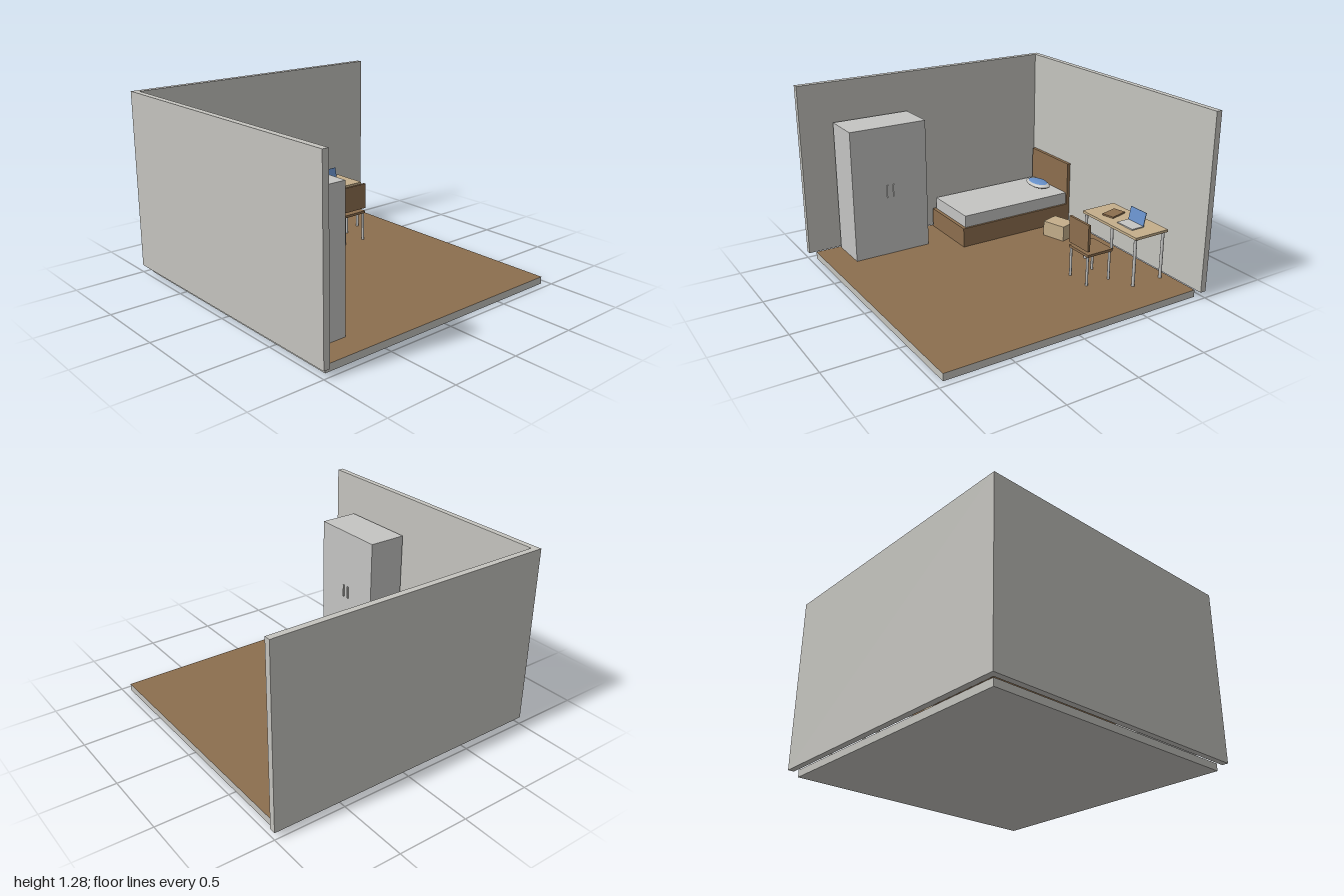
import * as THREE from 'three';

const mat = (name, color) => {
  const m = new THREE.MeshStandardMaterial({ color });
  m.name = name;
  return m;
};

export function createModel() {
  const wall = mat('wall grey', 0xc4c3be);
  const white = mat('soft grey', 0xc4c4c2);
  const wood = mat('brown wood', 0x8c6e4e);
  const tan = mat('light wood', 0xc4ae8a);
  const blue = mat('blue', 0x668fc8);

  const room = new THREE.Group();
  room.name = 'bedroom';
  const group = (name) => {
    const g = new THREE.Group();
    g.name = name;
    room.add(g);
    return g;
  };
  // box given by its min and max corners
  const box = (parent, name, material, [x0, x1], [y0, y1], [z0, z1], turn = 0) => {
    const m = new THREE.Mesh(new THREE.BoxGeometry(x1 - x0, y1 - y0, z1 - z0), material);
    m.position.set((x0 + x1) / 2, (y0 + y1) / 2, (z0 + z1) / 2);
    m.rotation.y = turn;
    m.name = name;
    parent.add(m);
    return m;
  };
  // four round legs at every pairing of xs and zs
  const legs = (parent, name, xs, zs, top, r) => {
    for (const x of xs) for (const z of zs) {
      const m = new THREE.Mesh(new THREE.CylinderGeometry(r, r, top - 0.05, 16), white);
      m.position.set(x, (top + 0.05) / 2, z);
      m.name = name;
      parent.add(m);
    }
  };

  // Floor slab with a wooden top, and two walls
  box(room, 'floor', [wall, wall, wood, wall, wall, wall], [-0.95, 0.95], [0, 0.05], [-0.95, 0.95]);
  box(room, 'backWall', wall, [-1, 1], [0.05, 1.285], [-1, -0.957]);
  box(room, 'rightWall', wall, [-1, -0.957], [0.05, 1.285], [-0.957, 1]);

  // Bed
  const bed = group('bed');
  box(bed, 'bedBase', wood, [-0.93, -0.455], [0.05, 0.195], [-0.93, 0]);
  box(bed, 'headboard', wood, [-0.93, -0.455], [0.05, 0.525], [-0.953, -0.928]);
  box(bed, 'mattress', white, [-0.915, -0.47], [0.195, 0.285], [-0.928, -0.025]);
  const pillow = new THREE.Mesh(new THREE.SphereGeometry(1, 32, 20), white);
  pillow.name = 'pillow';
  pillow.scale.set(0.127, 0.024, 0.07);
  pillow.position.set(-0.693, 0.316, -0.82);
  bed.add(pillow);
  // blue patch on top of the pillow
  const patch = new THREE.Mesh(
    new THREE.SphereGeometry(1, 32, 10, 0, Math.PI * 2, 0, 0.88), blue);
  patch.name = 'pillowPatch';
  patch.scale.set(0.127, 0.026, 0.075);
  patch.position.copy(pillow.position);
  bed.add(patch);

  // Wardrobe with two handles
  const wardrobe = group('wardrobe');
  box(wardrobe, 'wardrobeBody', white, [-0.93, -0.645], [0.05, 1.002], [0.192, 0.765]);
  for (const z of [0.455, 0.503])
    box(wardrobe, 'wardrobeHandle', white, [-0.645, -0.636], [0.482, 0.575], [z - 0.006, z + 0.006]);

  // Storage box, turned slightly
  box(room, 'storageBox', tan, [-0.355, -0.17], [0.05, 0.163], [-0.79, -0.65], 0.3);

  // Desk
  const desk = group('desk');
  box(desk, 'deskTop', tan, [0.14, 0.711], [0.392, 0.41], [-0.902, -0.626]);
  legs(desk, 'deskLeg', [0.166, 0.688], [-0.88, -0.642], 0.392, 0.011);

  // Book and laptop on the desk
  box(desk, 'book', wood, [0.261, 0.354], [0.41, 0.421], [-0.834, -0.698], 0.25);
  const laptop = group('laptop');
  box(laptop, 'laptopBase', white, [0.443, 0.598], [0.41, 0.418], [-0.787, -0.687]);
  const screen = box(laptop, 'laptopScreen', blue, [0.443, 0.598], [0.414, 0.51], [-0.798, -0.793]);
  screen.rotation.x = -0.21;

  // Chair
  const chair = group('chair');
  box(chair, 'chairSeat', wood, [0.32, 0.53], [0.259, 0.277], [-0.583, -0.377]);
  box(chair, 'chairBack', wood, [0.32, 0.53], [0.3, 0.49], [-0.392, -0.374]);
  legs(chair, 'chairLeg', [0.335, 0.516], [-0.57, -0.385], 0.259, 0.009);

  return room;
}
